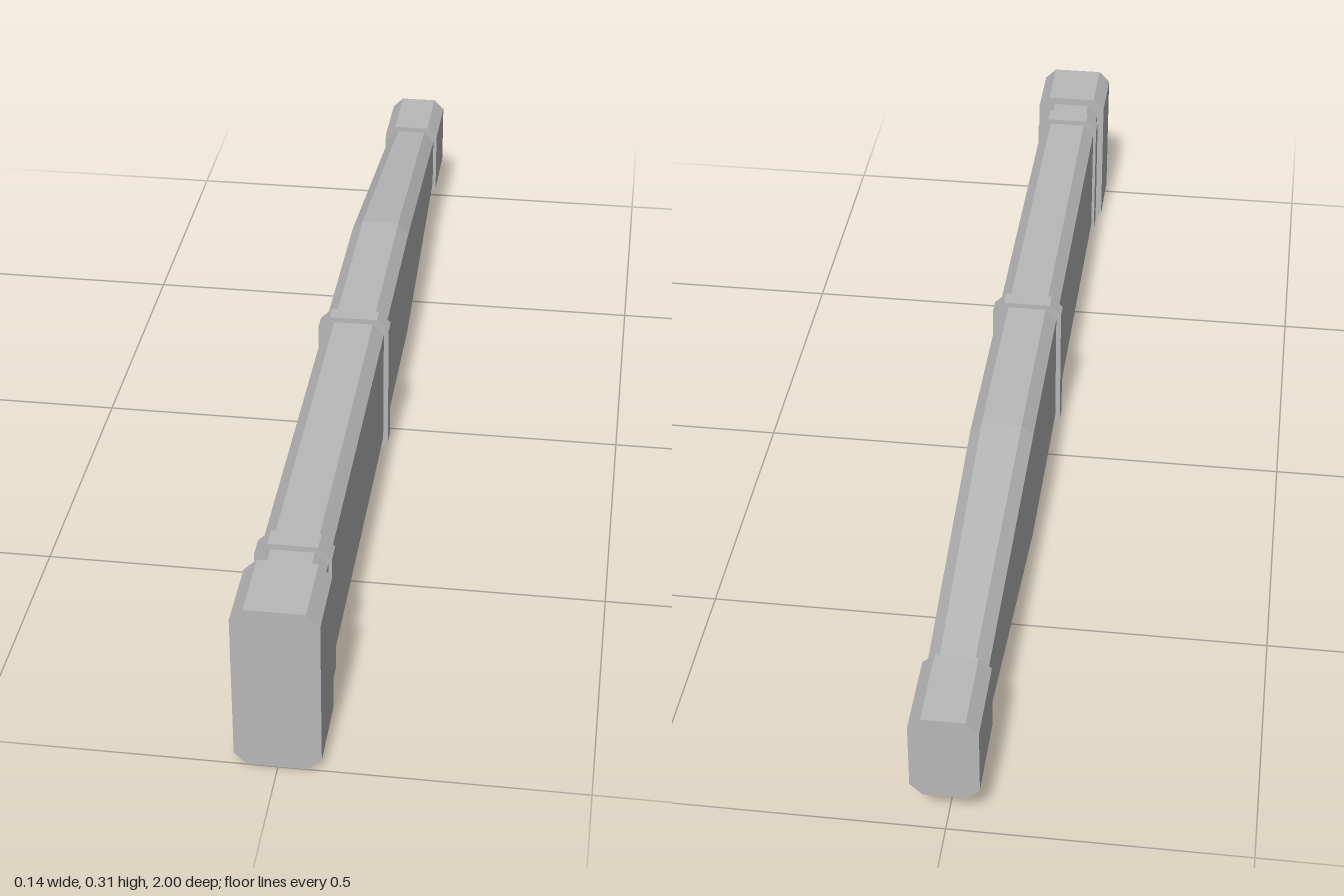
import * as THREE from 'three';

// Chamfered rectangle, counter-clockwise seen from +z
function section({ z, w, y0, y1, c }) {
  return [
    [-w + c, y0], [w - c, y0], [w, y0 + c], [w, y1 - c],
    [w - c, y1], [-w + c, y1], [-w, y1 - c], [-w, y0 + c],
  ].map(([x, y]) => [x, y, z]);
}

// Closed solid through sections listed from back to front, with flat faces
function loft(sections) {
  const rings = sections.map(section);
  const first = rings[0];
  const last = rings[rings.length - 1];
  const pos = [];
  const tri = (a, b, c) => pos.push(...a, ...b, ...c);
  for (let r = 0; r < rings.length - 1; r++) {
    const a = rings[r];
    const b = rings[r + 1];
    for (let i = 0; i < 8; i++) {
      const j = (i + 1) % 8;
      tri(a[i], a[j], b[j]);
      tri(a[i], b[j], b[i]);
    }
  }
  for (let i = 1; i < 7; i++) {
    tri(last[0], last[i], last[i + 1]);
    tri(first[0], first[i + 1], first[i]);
  }
  const geometry = new THREE.BufferGeometry();
  geometry.setAttribute('position', new THREE.Float32BufferAttribute(pos, 3));
  geometry.computeVertexNormals();
  return geometry;
}

export function createModel() {
  const group = new THREE.Group();
  group.name = 'handle';
  const grey = new THREE.MeshStandardMaterial({ color: 0xb8b8b8, flatShading: true });
  grey.name = 'grey';

  const add = (name, sections) => {
    const mesh = new THREE.Mesh(loft(sections), grey);
    mesh.name = name;
    group.add(mesh);
  };
  const block = (name, z0, z1, shape) =>
    add(name, [{ ...shape, z: z0 }, { ...shape, z: z1 }]);

  // Main grip, straight at the front and tapering to the back
  const grip = { w: 0.057, y0: 0.024, y1: 0.295, c: 0.021 };
  add('grip', [
    { z: -0.86, w: 0.05, y0: 0.087, y1: 0.231, c: 0.021 },
    { ...grip, z: -0.3 },
    { ...grip, z: 0.88 },
  ]);

  // End caps
  block('frontCap', 0.87, 1, { w: 0.071, y0: 0, y1: 0.31, c: 0.022 });
  block('backCap', -1, -0.85, { w: 0.057, y0: 0.075, y1: 0.242, c: 0.021 });

  // Raised bands around the grip
  block('frontBand', 0.783, 0.82, { w: 0.063, y0: 0.013, y1: 0.305, c: 0.022 });
  block('middleBand', 0.07, 0.102, { w: 0.066, y0: 0.013, y1: 0.305, c: 0.022 });

  return group;
}
